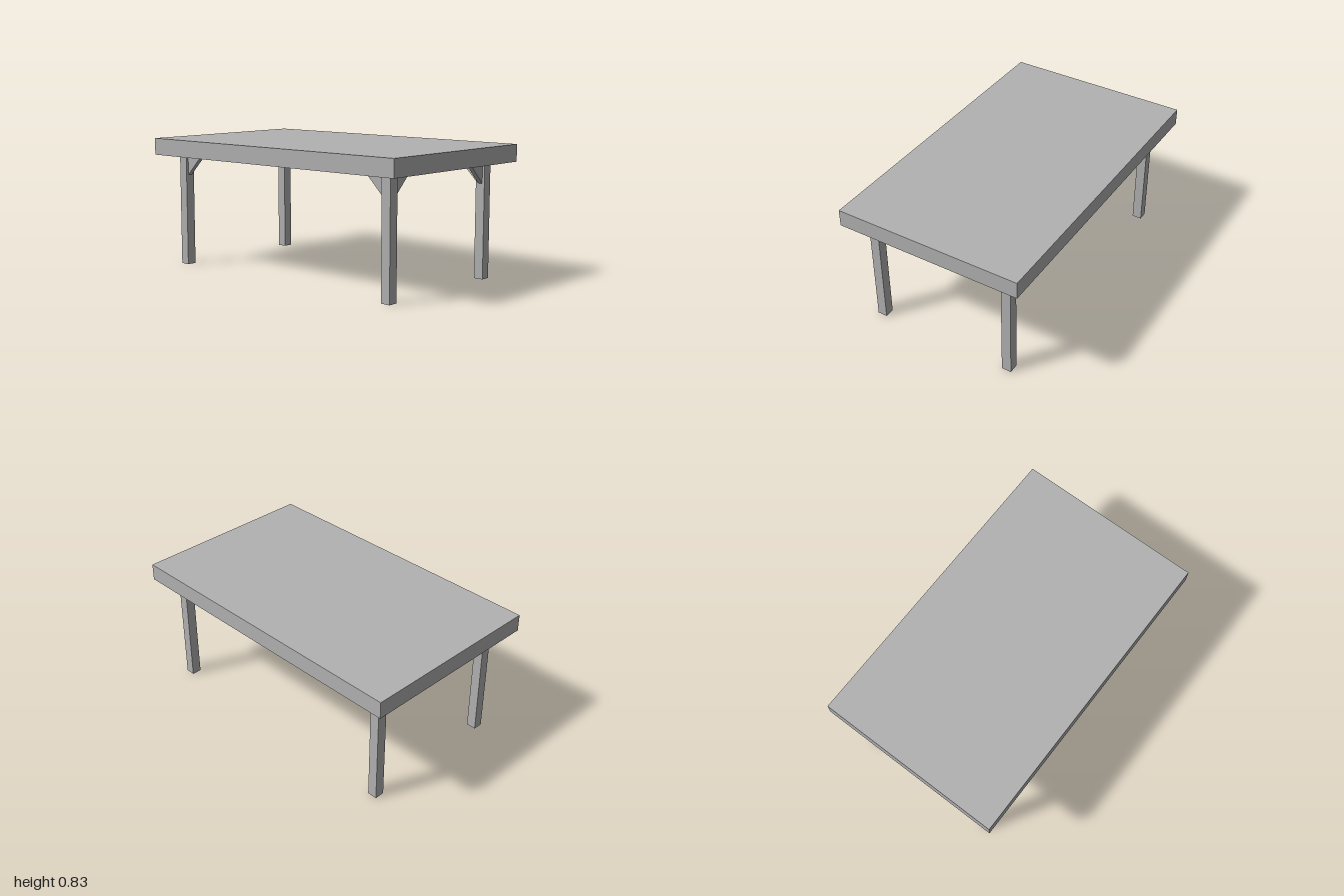
import * as THREE from 'three';

export function createModel() {
  const grey = new THREE.MeshStandardMaterial({ color: 0xb2b2b2 });
  grey.name = 'plain grey';
  const table = new THREE.Group();
  table.name = 'table';

  const add = (parent, name, geometry, x, y, z) => {
    const mesh = new THREE.Mesh(geometry, grey);
    mesh.name = name;
    mesh.position.set(x, y, z);
    parent.add(mesh);
    return mesh;
  };

  const underside = 0.725, topY = 0.833;
  const legWidth = 0.062, legX = 0.455, legZ = 0.855;
  const braceSize = 0.13, braceThickness = 0.03;

  // Thick table top
  add(table, 'tableTop', new THREE.BoxGeometry(1.2, topY - underside, 2), 0, (topY + underside) / 2, 0);

  // Triangular brace: right angle against the leg and the underside
  const triangle = new THREE.Shape();
  triangle.moveTo(0, 0);
  triangle.lineTo(0, -braceSize);
  triangle.lineTo(braceSize, 0);
  triangle.closePath();
  const braceGeometry = new THREE.ExtrudeGeometry(triangle, { depth: braceThickness, bevelEnabled: false });
  braceGeometry.translate(legWidth / 2, 0, -braceThickness / 2);
  const legGeometry = new THREE.BoxGeometry(legWidth, underside, legWidth);

  // Four legs, each with two braces pointing inward
  for (const sx of [-1, 1]) {
    for (const sz of [-1, 1]) {
      const corner = new THREE.Group();
      corner.name = (sz > 0 ? 'front' : 'back') + (sx > 0 ? 'Left' : 'Right') + 'Leg';
      corner.position.set(sx * legX, 0, sz * legZ);
      add(corner, 'leg', legGeometry, 0, underside / 2, 0);
      add(corner, 'sideBrace', braceGeometry, 0, underside, 0).rotation.y = sx > 0 ? Math.PI : 0;
      add(corner, 'lengthBrace', braceGeometry, 0, underside, 0).rotation.y = sz * Math.PI / 2;
      table.add(corner);
    }
  }
  return table;
}
